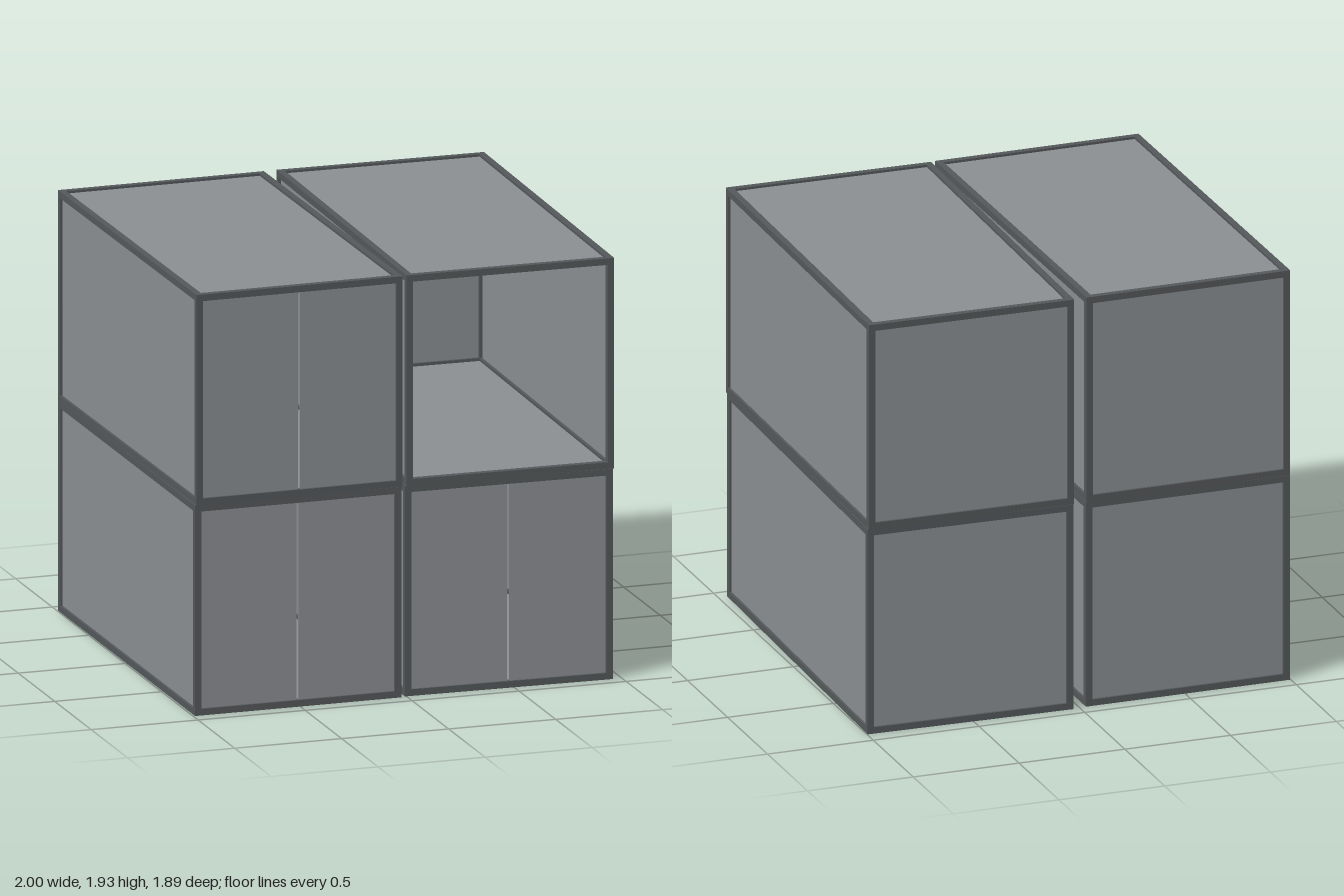
import * as THREE from 'three';

const W = 0.965, H = 0.965, L = 1.865; // container size
const BEAM = 0.03;                     // frame beam thickness
const SKIN = 0.006, INSET = 0.011;     // panel thickness and recess behind the frame
const GAP = 0.01;                      // slit between the two doors

const frameMat = new THREE.MeshStandardMaterial({ color: 0x55595b });
const panelMat = new THREE.MeshStandardMaterial({ color: 0x8c9093 });

function addBox(parent, name, mat, size, pos) {
  const mesh = new THREE.Mesh(new THREE.BoxGeometry(...size), mat);
  mesh.name = name;
  mesh.position.set(...pos);
  parent.add(mesh);
}

function createContainer(hasDoors) {
  const g = new THREE.Group();
  const iw = W - 2 * BEAM, ih = H - 2 * BEAM, il = L - 2 * BEAM;
  const bx = (W - BEAM) / 2, by = (H - BEAM) / 2, bz = (L - BEAM) / 2;

  // Twelve frame beams: posts, cross beams and long rails
  for (const a of [-1, 1]) {
    for (const b of [-1, 1]) {
      addBox(g, 'cornerPost', frameMat, [BEAM, H, BEAM], [a * bx, 0, b * bz]);
      addBox(g, 'crossBeam', frameMat, [iw, BEAM, BEAM], [0, a * by, b * bz]);
      addBox(g, 'longRail', frameMat, [BEAM, BEAM, il], [a * bx, b * by, 0]);
    }
  }

  // Thin panels recessed into the frame
  const off = INSET + SKIN / 2;
  for (const s of [-1, 1]) {
    addBox(g, 'sideWall', panelMat, [SKIN, ih, il], [s * (W / 2 - off), 0, 0]);
    addBox(g, s > 0 ? 'roof' : 'floor', panelMat, [iw, SKIN, il], [0, s * (H / 2 - off), 0]);
  }
  addBox(g, 'backWall', panelMat, [iw, ih, SKIN], [0, 0, -(L / 2 - off)]);

  // Pair of doors at the front
  if (hasDoors) {
    const dw = (iw - GAP) / 2;
    for (const s of [-1, 1]) {
      addBox(g, 'door', panelMat, [dw, ih, SKIN], [s * (dw + GAP) / 2, 0, L / 2 - off]);
    }
  }
  return g;
}

export function createModel() {
  const model = new THREE.Group();
  model.name = 'containerStack';

  // Two by two stack, each container turned slightly
  const places = [
    { name: 'lowerRightContainer', x: -0.511, level: 0, turn: 0.002, doors: true },
    { name: 'lowerLeftContainer', x: 0.495, level: 0, turn: -0.0214, doors: true },
    { name: 'upperRightContainer', x: -0.509, level: 1, turn: 0.007, doors: true },
    { name: 'upperLeftContainer', x: 0.496, level: 1, turn: -0.0145, doors: false },
  ];
  for (const p of places) {
    const c = createContainer(p.doors);
    c.name = p.name;
    c.position.set(p.x, H * (p.level + 0.5), 0);
    c.rotation.y = p.turn;
    model.add(c);
  }
  return model;
}
